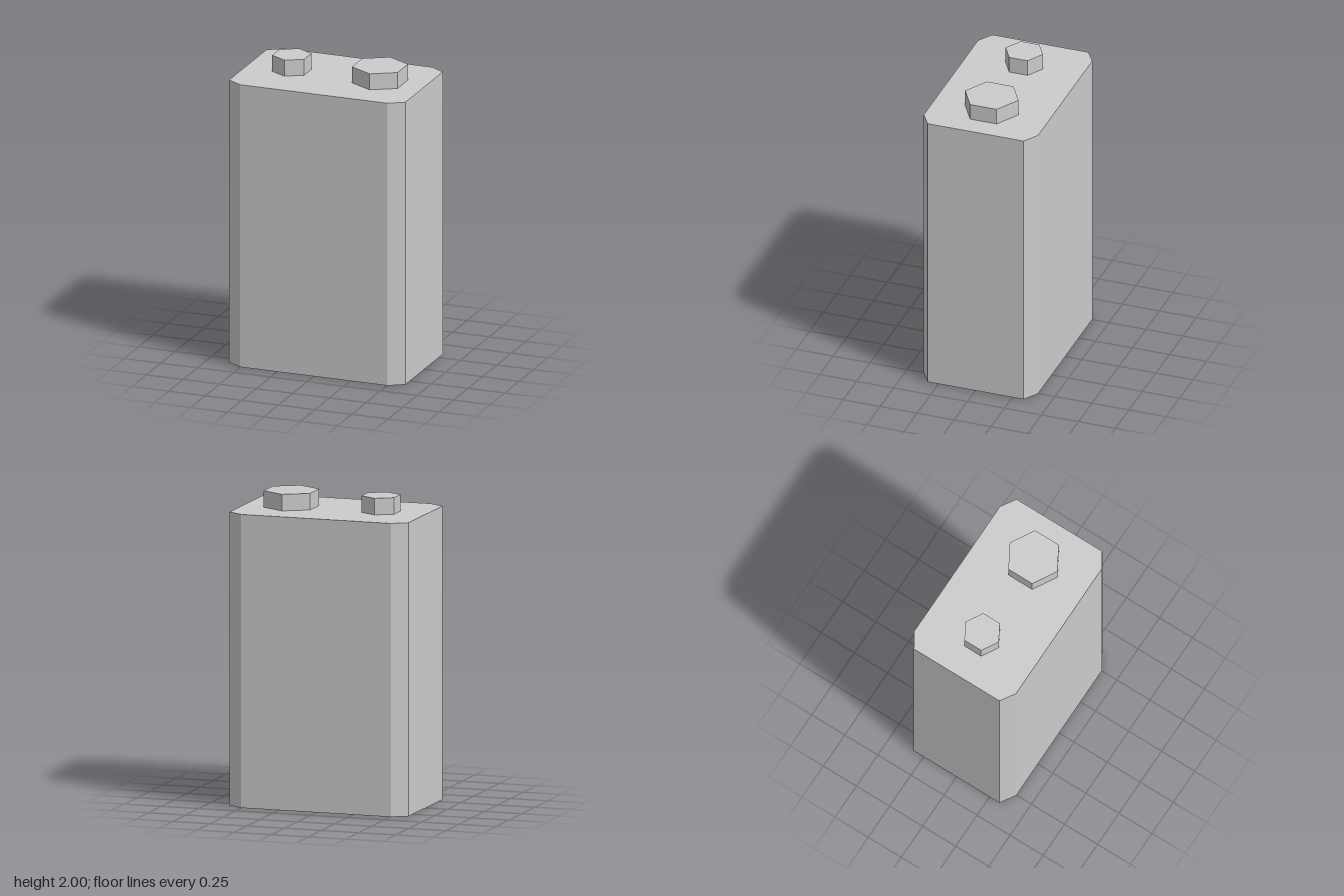
import * as THREE from 'three';

const HALF_W = 0.602, HALF_D = 0.386; // case half width and depth
const CUT_X = 0.098, CUT_Z = 0.062;   // corner chamfer
const CASE_H = 1.893, TOP = 2;

export function createModel() {
  const model = new THREE.Group();
  model.name = 'battery';
  const material = new THREE.MeshStandardMaterial({ color: 0xcccccc, flatShading: true });

  const add = (name, geometry, x, y) => {
    const mesh = new THREE.Mesh(geometry, material);
    mesh.name = name;
    mesh.position.set(x, y, 0);
    model.add(mesh);
  };

  // Case: rectangle with chamfered corners, extruded upwards
  const x = HALF_W - CUT_X, z = HALF_D - CUT_Z;
  const outline = new THREE.Shape([
    [x, -HALF_D], [HALF_W, -z], [HALF_W, z], [x, HALF_D],
    [-x, HALF_D], [-HALF_W, z], [-HALF_W, -z], [-x, -HALF_D],
  ].map(([px, pz]) => new THREE.Vector2(px, pz)));
  const body = new THREE.ExtrudeGeometry(outline, { depth: CASE_H, bevelEnabled: false });
  body.rotateX(-Math.PI / 2);
  add('case', body, 0, 0);

  // Hexagonal terminals on the top, corners pointing to front and back
  const height = TOP - CASE_H;
  const terminal = (name, radius, px) =>
    add(name, new THREE.CylinderGeometry(radius, radius, height, 6), px, CASE_H + height / 2);
  terminal('smallTerminal', 0.126, -0.302);
  terminal('largeTerminal', 0.18, 0.3);

  return model;
}
